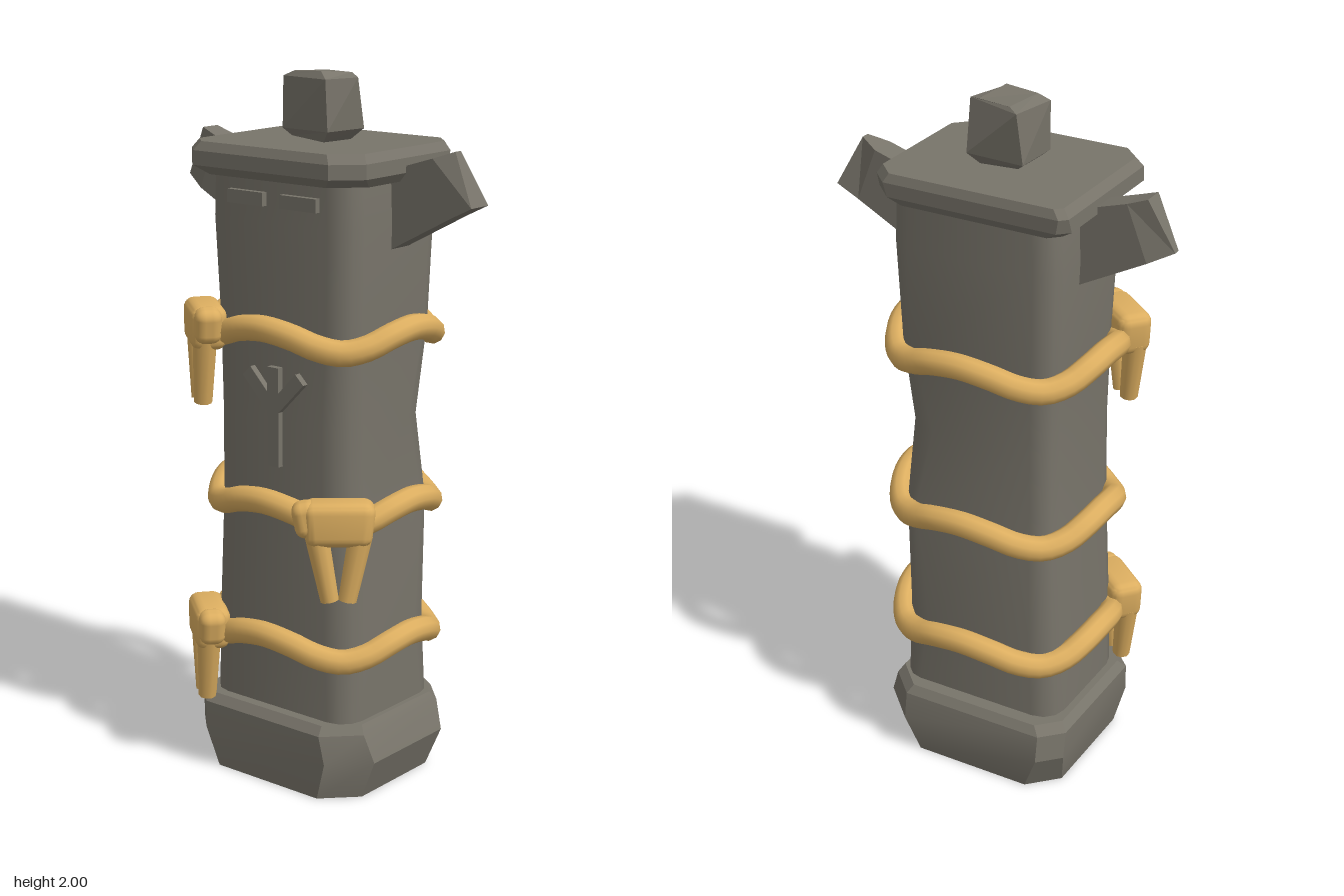
import * as THREE from 'three';
import { toCreasedNormals } from 'three/addons/utils/BufferGeometryUtils.js';
import { RoundedBoxGeometry } from 'three/addons/geometries/RoundedBoxGeometry.js';

const V = (x, y, z) => new THREE.Vector3(x, y, z);

// Skin a stack of equal-length rings and close both ends; crease 0 gives flat facets
function loft(rings, crease = 0) {
  const pos = [];
  const tri = (...p) => p.forEach((v) => pos.push(v.x, v.y, v.z));
  const n = rings[0].length;
  for (let r = 0; r < rings.length - 1; r++) {
    const lo = rings[r], hi = rings[r + 1];
    for (let i = 0; i < n; i++) {
      const j = (i + 1) % n;
      tri(lo[i], lo[j], hi[j]);
      tri(lo[i], hi[j], hi[i]);
    }
  }
  const first = rings[0], last = rings[rings.length - 1];
  for (let i = 1; i < n - 1; i++) {
    tri(first[0], first[i + 1], first[i]);
    tri(last[0], last[i], last[i + 1]);
  }
  const g = new THREE.BufferGeometry();
  g.setAttribute('position', new THREE.Float32BufferAttribute(pos, 3));
  g.computeVertexNormals();
  return crease ? toCreasedNormals(g, crease) : g;
}

// Rectangle with cut corners; cuts run back right, back left, front left, front right (on the page)
function ring(y, x0, x1, z0, z1, cuts, steps = 1) {
  const corners = [[x1, z0, 1, -1], [x0, z0, -1, -1], [x0, z1, -1, 1], [x1, z1, 1, 1]];
  const pts = [];
  corners.forEach(([x, z, sx, sz], k) => {
    const c = cuts[k];
    for (let i = 0; i <= steps; i++) {
      const a = ((k + i / steps) * Math.PI) / 2;
      pts.push(V(x - sx * c + Math.cos(a) * c, y, z - sz * c - Math.sin(a) * c));
    }
  });
  return pts;
}

export function createModel() {
  const model = new THREE.Group();
  const stone = new THREE.MeshStandardMaterial({ color: 0x78746a });
  const rope = new THREE.MeshStandardMaterial({ color: 0xdcae60 });

  const add = (parent, name, geo, mat) => {
    const m = new THREE.Mesh(geo, mat);
    m.name = name;
    parent.add(m);
    return m;
  };

  // Base block
  add(model, 'base', loft([
    ring(0, -0.275, 0.27, -0.255, 0.245, [0.11, 0.08, 0.09, 0.09]),
    ring(0.11, -0.3, 0.31, -0.275, 0.25, [0.11, 0.06, 0.07, 0.1]),
    ring(0.19, -0.3, 0.28, -0.262, 0.25, [0.08, 0.06, 0.07, 0.09]),
    ring(0.215, -0.28, 0.265, -0.245, 0.23, [0.08, 0.06, 0.07, 0.08]),
  ], 0.4), stone);

  // Column, slightly uneven along its height
  add(model, 'column', loft([
    ring(0.19, -0.26, 0.25, -0.205, 0.2, [0.06, 0.07, 0.07, 0.07], 3),
    ring(0.45, -0.252, 0.25, -0.212, 0.2, [0.1, 0.07, 0.07, 0.08], 3),
    ring(0.8, -0.237, 0.24, -0.2, 0.197, [0.05, 0.06, 0.07, 0.08], 3),
    ring(1.05, -0.23, 0.237, -0.19, 0.196, [0.1, 0.06, 0.06, 0.08], 3),
    ring(1.3, -0.237, 0.24, -0.2, 0.194, [0.05, 0.06, 0.06, 0.07], 3),
    ring(1.6, -0.25, 0.25, -0.215, 0.2, [0.06, 0.06, 0.06, 0.07], 3),
    ring(1.73, -0.245, 0.245, -0.215, 0.2, [0.06, 0.06, 0.06, 0.07], 3),
  ], 0.7), stone);

  // Cap slab
  add(model, 'cap', loft([
    ring(1.72, -0.26, 0.275, -0.215, 0.225, [0.07, 0.03, 0.05, 0.08]),
    ring(1.745, -0.297, 0.295, -0.235, 0.252, [0.06, 0.03, 0.05, 0.07]),
    ring(1.785, -0.295, 0.295, -0.238, 0.252, [0.05, 0.02, 0.05, 0.07]),
    ring(1.81, -0.277, 0.28, -0.23, 0.24, [0.05, 0.02, 0.05, 0.07]),
  ]), stone);

  // Small crooked cube on the cap
  add(model, 'topStone', loft([
    [V(0.06, 1.81, -0.05), V(-0.06, 1.82, -0.06), V(-0.065, 1.82, 0.05), V(0.05, 1.81, 0.055)],
    [V(0.09, 1.84, -0.07), V(-0.085, 1.84, -0.08), V(-0.09, 1.84, 0.06), V(0.075, 1.84, 0.07)],
    [V(0.1, 1.98, -0.03), V(-0.07, 1.98, -0.088), V(-0.095, 1.98, 0.05), V(0.07, 1.98, 0.073)],
    [V(0.06, 1.99, -0.055), V(-0.04, 1.99, -0.07), V(-0.06, 1.995, 0.045), V(0.04, 2, 0.055)],
  ]), stone);

  // Arms: upturned stubs, each with one pinched tip edge
  for (const s of [1, -1]) {
    const section = (xLo, yLo, xHi, yHi, wLo, wHi) => {
      const zc = -0.027;
      const r = [V(s * xLo, yLo, zc - wLo), V(s * xHi, yHi, zc - wHi),
        V(s * xHi, yHi, zc + wHi), V(s * xLo, yLo, zc + wLo)];
      return s > 0 ? r : r.reverse();
    };
    add(model, s > 0 ? 'leftArm' : 'rightArm', loft([
      section(0.2, 1.51, 0.2, 1.735, 0.038, 0.038),
      section(0.44, 1.637, 0.38, 1.79, 0.038, 0.038),
      section(0.507, 1.67, 0.435, 1.81, s > 0 ? 0.038 : 0.01, s > 0 ? 0.012 : 0.03),
    ]), stone);
  }

  // Eyes
  for (const s of [1, -1]) {
    const eye = add(model, s > 0 ? 'leftEye' : 'rightEye', new THREE.BoxGeometry(0.125, 0.037, 0.03), stone);
    eye.position.set(s * 0.092, 1.667, 0.203);
  }

  // Raised forked mark on the chest
  const mark = new THREE.Shape([
    [-0.02, 0.93], [0.02, 0.93], [0.02, 1.085], [0.108, 1.175], [0.08, 1.202], [0.02, 1.14],
    [0.02, 1.21], [-0.02, 1.21], [-0.02, 1.14], [-0.08, 1.202], [-0.108, 1.175], [-0.02, 1.085],
  ].map(([x, y]) => new THREE.Vector2(x, y)));
  add(model, 'chestMark', new THREE.ExtrudeGeometry(mark, { depth: 0.03, bevelEnabled: false }), stone)
    .position.z = 0.184;

  // Tapered strand between two points
  const strand = (parent, a, b, rTop, rBottom) => {
    const dir = a.clone().sub(b);
    const m = add(parent, 'ropeEnd', new THREE.CylinderGeometry(rTop, rBottom, dir.length(), 10), rope);
    m.position.copy(a).add(b).multiplyScalar(0.5);
    m.quaternion.setFromUnitVectors(V(0, 1, 0), dir.normalize());
  };

  // Ropes that sag at the corners, each tied at one front corner
  [[1.3, -1], [0.815, 1], [0.425, -1]].forEach(([y, s]) => {
    const binding = new THREE.Group();
    binding.name = 'binding';
    const pts = [];
    for (let i = 0; i < 24; i++) {
      const a = (i / 24) * Math.PI * 2;
      const round = (c) => Math.sign(c) * Math.abs(c) ** 0.88;
      pts.push(V(round(Math.cos(a)) * 0.302, y + 0.025 * Math.cos(4 * a), round(Math.sin(a)) * 0.264 - 0.011));
    }
    const path = new THREE.CatmullRomCurve3(pts, true);
    add(binding, 'rope', new THREE.TubeGeometry(path, 72, 0.036, 10, true), rope);

    const knot = new THREE.Group();
    knot.name = 'knot';
    knot.position.set(s * 0.238, y + 0.003, 0.222);
    knot.rotation.y = s * 0.69;
    // Main wrap, wider at the top
    const wrap = new RoundedBoxGeometry(0.19, 0.125, 0.1, 3, 0.03);
    const p = wrap.attributes.position;
    for (let i = 0; i < p.count; i++) {
      p.setX(i, p.getX(i) * (1 + p.getY(i) * 1.2));
      p.setY(i, p.getY(i) - 0.8 * p.getX(i) ** 2);
    }
    wrap.computeVertexNormals();
    add(knot, 'knotWrap', toCreasedNormals(wrap, 0.9), rope).position.y = 0.003;
    // Collar where the rope enters the wrap
    const collar = add(knot, 'knotCollar', new RoundedBoxGeometry(0.07, 0.1, 0.075, 3, 0.028), rope);
    collar.position.set(-s * 0.088, 0.012, 0.005);
    collar.rotation.z = s * 0.2;
    // Hanging ends
    for (const e of [1, -1]) {
      strand(knot, V(e * 0.06, -0.03, 0.01), V(e * 0.024, -0.218, 0.012), 0.034, 0.026);
    }
    binding.add(knot);
    model.add(binding);
  });

  return model;
}
